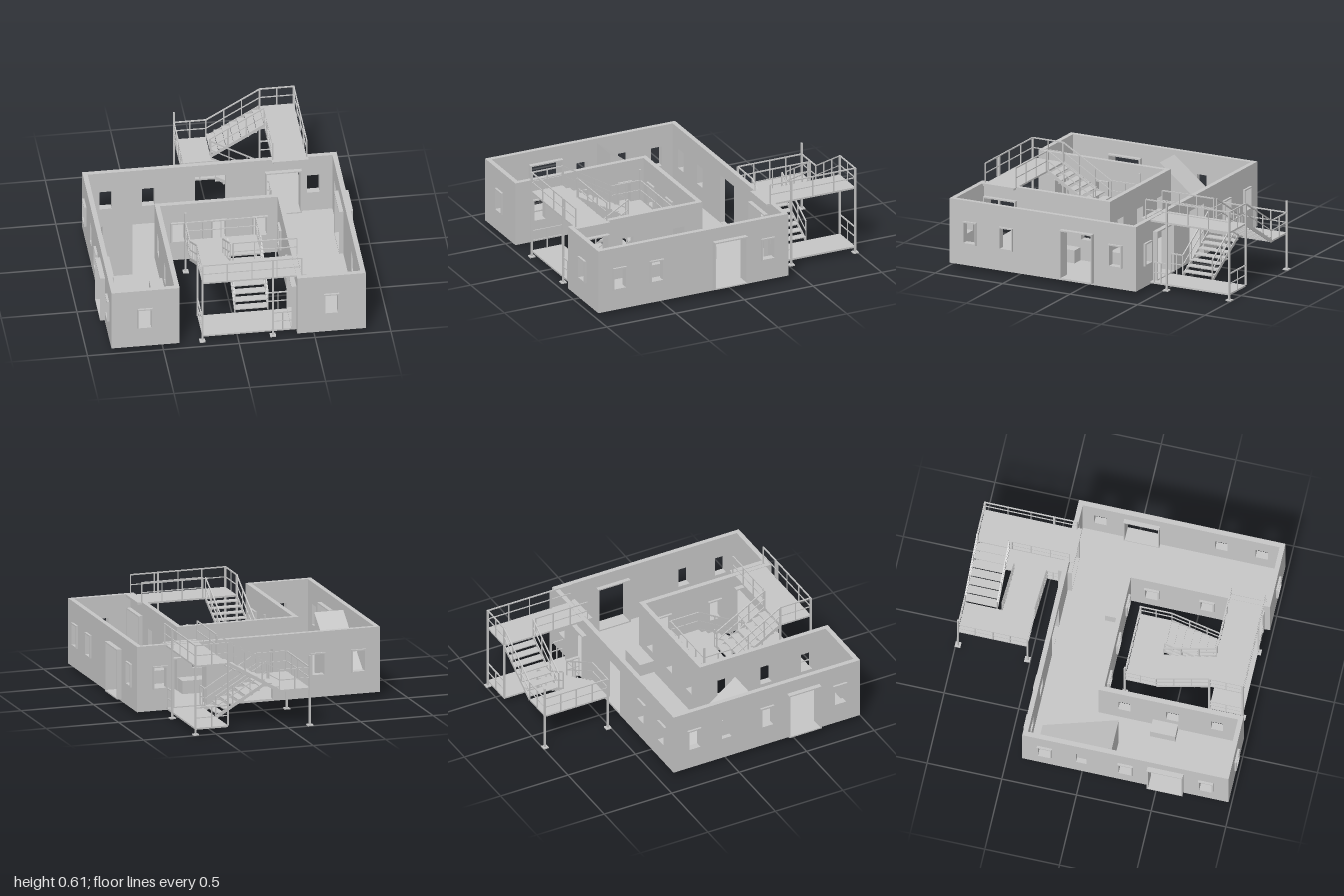
import * as THREE from 'three';

const grey = new THREE.MeshStandardMaterial({ color: 0xc6c6c6 });
grey.name = 'lightGrey';
const BASE = 0.03, TOP = 0.47, T = 0.032;

function add(parent, geo, name) {
  const m = new THREE.Mesh(geo, grey);
  m.name = name;
  parent.add(m);
  return m;
}

// Axis-aligned box from two opposite corners
function block(parent, name, a, b) {
  const s = a.map((v, i) => Math.abs(b[i] - v));
  add(parent, new THREE.BoxGeometry(...s), name).position.set(...a.map((v, i) => (v + b[i]) / 2));
}

// Square bar between two points
function bar(parent, name, a, b, w = 0.008, h = w) {
  const p = new THREE.Vector3(...a), q = new THREE.Vector3(...b);
  const m = add(parent, new THREE.BoxGeometry(w, h, p.distanceTo(q)), name);
  m.position.copy(p).add(q).multiplyScalar(0.5);
  m.lookAt(q);
}

function rectPath(path, x0, y0, x1, y1) {
  path.moveTo(x0, y0);
  path.lineTo(x1, y0);
  path.lineTo(x1, y1);
  path.lineTo(x0, y1);
  path.closePath();
  return path;
}

// Flat panel with rectangular holes, extruded along z
function panel(x0, y0, x1, y1, holes, depth) {
  const s = rectPath(new THREE.Shape(), x0, y0, x1, y1);
  for (const h of holes) s.holes.push(rectPath(new THREE.Path(), ...h));
  return new THREE.ExtrudeGeometry(s, { depth, bevelEnabled: false });
}

// Wall whose outer face looks along dir; openings are given by their centre along the wall
const DIRS = { '+z': [0, 1], '-z': [Math.PI, -1], '+x': [Math.PI / 2, -1], '-x': [-Math.PI / 2, 1] };
function wall(parent, name, dir, face, from, to, { windows = [], doors = [], gaps = [] }) {
  const g = new THREE.Group();
  g.name = name;
  const [angle, sign] = DIRS[dir];
  g.rotation.y = angle;
  if (dir[1] === 'z') g.position.z = face; else g.position.x = face;
  const holes = [], frames = [];
  const f = 0.009;
  for (const c of windows) {
    const r = [sign * c - 0.05, 0.175, sign * c + 0.05, 0.33];
    frames.push(['windowFrame', r, -T, 0.015]);
    holes.push(r);
  }
  for (const [c, w] of doors) {
    const r = [sign * c - w / 2, 0.045, sign * c + w / 2, 0.38];
    frames.push(['doorFrame', r, -0.06, 0.033]);
    holes.push(r);
  }
  for (const r of gaps) holes.push(r.map((v, i) => (i % 2 ? v : sign * v)));
  const a = Math.min(sign * from, sign * to), b = Math.max(sign * from, sign * to);
  add(g, panel(a, BASE, b, TOP, holes, T), 'wallPanel').position.z = -T;
  for (const [n, r, z0, z1] of frames) {
    const inner = [r[0] + f, r[1] + f, r[2] - f, r[3] - f];
    add(g, panel(...r, [inner], z1 - z0), n).position.z = z0;
  }
  parent.add(g);
}

// Railing with top rail, middle rail and balusters
function railing(parent, a, b, n, h = 0.135) {
  const up = (p, d) => [p[0], p[1] + d, p[2]];
  bar(parent, 'topRail', up(a, h), up(b, h));
  bar(parent, 'midRail', up(a, h / 2), up(b, h / 2), 0.006);
  for (let i = 0; i <= n; i++) {
    const p = a.map((v, k) => v + ((b[k] - v) * i) / n);
    bar(parent, 'baluster', p, up(p, h), 0.007);
  }
}

// Switchback stair: u runs along the landings, w along the flights; map turns (u, y, w) into (x, y, z)
function stair(parent, name, map, endTop, endLow) {
  const g = new THREE.Group();
  g.name = name;
  const box = (n, a, b) => block(g, n, map(...a), map(...b));
  const rail = (a, b, n) => railing(g, map(...a), map(...b), n);
  const U0 = -0.235, U1 = 0.23, W0 = 0.15, W1 = 0.36, W2 = 0.715, W3 = 0.94;
  const low = 0.047, mid = 0.255, top = 0.467, t = 0.012;

  // Landings
  box('lowerLanding', [U0, low - t, W2], [endLow, low, W3]);
  box('middleLanding', [U0, mid - t, W0], [U1, mid, W1]);
  box('upperLanding', [U0, top - t, W2], [endTop, top, W3]);
  box('threshold', [endTop - 0.032, top, W2 - 0.008], [endTop + 0.002, top + 0.006, W3 + 0.008]);

  // Flights with open treads, stringers and handrails
  const flights = [
    [0.012, U1, W2, low, W1, mid],
    [U0, -0.02, W1, mid, W2, top],
  ];
  for (const [ua, ub, wa, ya, wb, yb] of flights) {
    const n = 7;
    for (let i = 0; i < n; i++) {
      const w = wa + ((wb - wa) * i) / n, y = ya + ((yb - ya) * (i + 1)) / (n + 1);
      box('tread', [ua, y - 0.007, w], [ub, y, w + ((wb - wa) * 1.05) / n]);
    }
    for (const u of [ua, ub]) {
      bar(g, 'stringer', map(u, ya - 0.005, wa), map(u, yb - 0.005, wb), 0.006, 0.022);
      rail([u, ya, wa], [u, yb, wb], 3);
    }
  }

  // Upper landing railings
  rail([U0, top, W3], [endTop - 0.03, top, W3], 4);
  rail([U0, top, W2], [U0, top, W3], 2);
  rail([0, top, W2], [endTop - 0.03, top, W2], 3);
  // Middle landing railings
  rail([U0, mid, W0], [U1, mid, W0], 4);
  rail([U0, mid, W0], [U0, mid, W1], 2);
  rail([U1, mid, W0], [U1, mid, W1], 2);
  // Lower landing railings
  rail([U0, low, W2], [U0, low, W3], 2);
  rail([U1, low, W2], [endLow - 0.03, low, W2], 2);
  rail([U1, low, W3], [endLow - 0.03, low, W3], 2);

  // Posts and foot plates
  const posts = [[U0, W0, 0.47], [U1, W0, 0.39], [U0, W3, 0.603], [U1, W3, 0.603], [U0, W2, 0.603]];
  posts.forEach(([u, w, h], i) => {
    const y0 = i < 4 ? 0 : low;
    box('post', [u - 0.006, y0, w - 0.006], [u + 0.006, h, w + 0.006]);
    if (i < 4) box('footPlate', [u - 0.019, 0, w - 0.019], [u + 0.019, 0.008, w + 0.019]);
  });
  parent.add(g);
}

export function createModel() {
  const model = new THREE.Group();
  model.name = 'building';
  const L = -0.84, R = 0.837, B = -0.4, F = 0.982, CL = -0.39, CR = 0.385, CB = 0.05;

  // U-shaped floor
  block(model, 'backFloor', [L, BASE, B], [R, 0.042, CB]);
  block(model, 'rightWingFloor', [L, BASE, CB], [CL, 0.042, F]);
  block(model, 'leftWingFloor', [CR, BASE, CB], [R, 0.042, F]);

  // Outer walls
  wall(model, 'backWall', '-z', B, L, R, {
    windows: [-0.69, -0.41, 0.68], doors: [[0.48, 0.24]], gaps: [[-0.1, 0.045, 0.1, 0.38]],
  });
  wall(model, 'rightOuterWall', '-x', L, B + T, F - T, {
    windows: [-0.25, 0.29, 0.83], doors: [[0.56, 0.24]], gaps: [[-0.04, 0.18, 0.03, 0.33]],
  });
  wall(model, 'leftOuterWall', '+x', R, B + T, F - T, { windows: [-0.25, 0.56, 0.83], doors: [[0.03, 0.24]] });
  wall(model, 'rightFrontWall', '+z', F, L, CL, { windows: [-0.62] });
  wall(model, 'leftFrontWall', '+z', F, CR, R, { windows: [0.61] });

  // Courtyard walls
  wall(model, 'courtyardBackWall', '+z', CB, CL - T, CR + T, { windows: [-0.27, 0, 0.27] });
  wall(model, 'courtyardRightWall', '+x', CL, CB, F - T, { windows: [0.19, 0.51, 0.81] });
  wall(model, 'courtyardLeftWall', '-x', CR, CB, F - T, { windows: [0.19, 0.56], doors: [[0.825, 0.24]] });

  // Solid ramp, its profile drawn along z and extruded across x
  const profile = new THREE.Shape();
  profile.moveTo(0.32, 0.042);
  profile.lineTo(-0.19, 0.445);
  profile.lineTo(-0.19, 0.042);
  profile.closePath();
  const ramp = add(model, new THREE.ExtrudeGeometry(profile, { depth: 0.2, bevelEnabled: false }), 'ramp');
  ramp.rotation.y = Math.PI / 2;
  ramp.position.x = -0.79;

  // Low benches against the courtyard walls
  block(model, 'backBench', [0.21, 0.042, -0.085], [0.415, 0.13, 0.02]);
  block(model, 'leftBench', [0.415, 0.042, 0.235], [0.5, 0.13, 0.46]);
  block(model, 'rightBench', [-0.51, 0.042, 0.38], [-0.42, 0.13, 0.55]);

  // Courtyard stair and its mirrored twin behind the building
  stair(model, 'courtyardStair', (u, y, w) => [u, y, w], 0.45, 0.39);
  stair(model, 'backStair', (u, y, w) => [w - 0.304, y, u - 0.75], 0.413, 0.35);
  return model;
}
